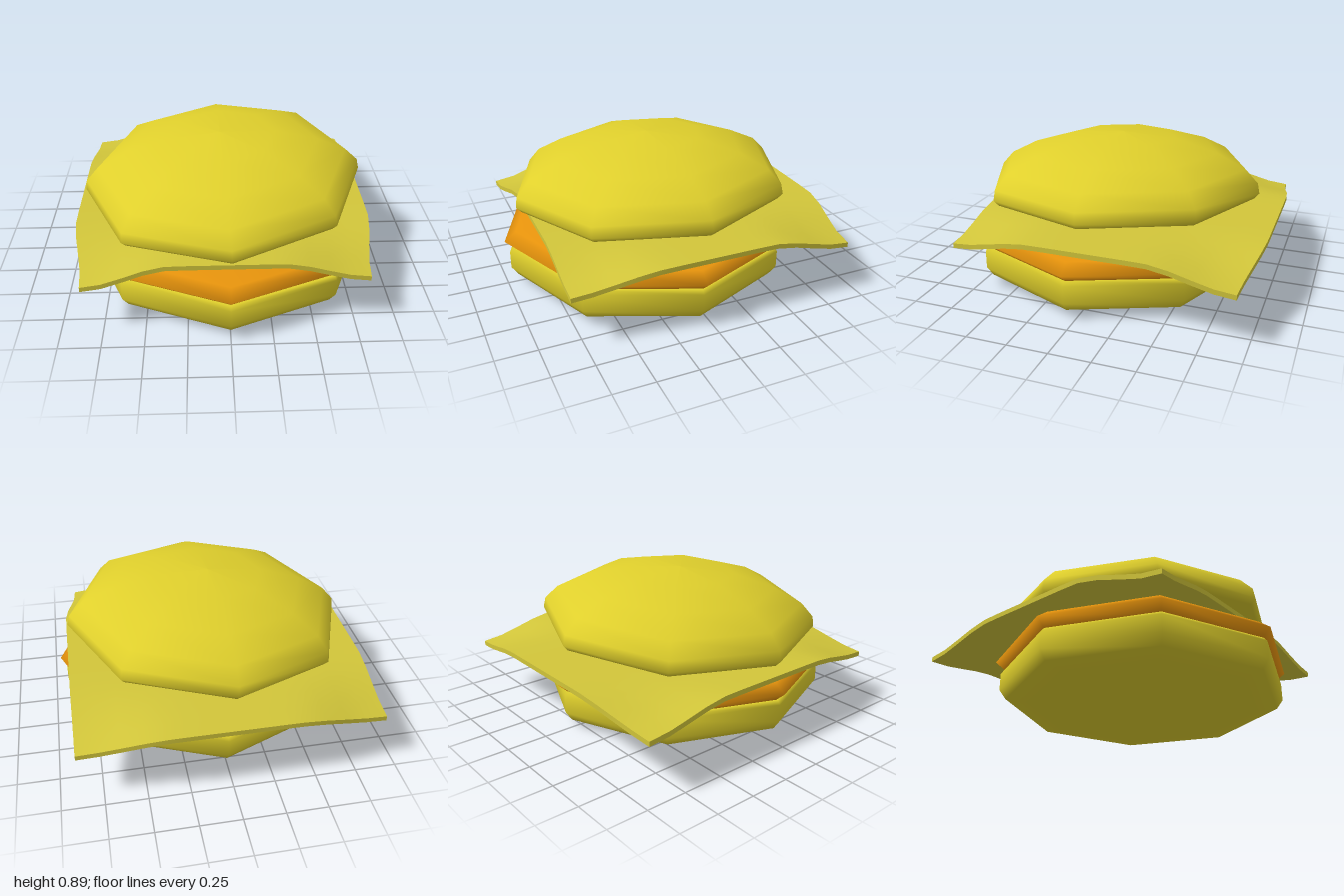
import * as THREE from 'three';

const bunMat = new THREE.MeshStandardMaterial({ color: 0xe0d02c });
const pattyMat = new THREE.MeshStandardMaterial({ color: 0xe8940c });
const cheeseMat = new THREE.MeshStandardMaterial({ color: 0xd2c63a });

// Eight-sided round layer from a profile of [radius, height], bottom to top
function layer(name, profile, material) {
  const points = profile.map(([r, y]) => new THREE.Vector2(r, y));
  const mesh = new THREE.Mesh(new THREE.LatheGeometry(points, 8), material);
  mesh.name = name;
  return mesh;
}

// Square slice whose corners droop and pull inward
function cheeseSlice() {
  const geo = new THREE.BoxGeometry(2, 0.03, 2, 14, 1, 14);
  const pos = geo.attributes.position;
  const ease = (t) => THREE.MathUtils.smoothstep(t, 0.38, 1);
  for (let i = 0; i < pos.count; i++) {
    const u = pos.getX(i), v = pos.getZ(i);
    const left = 0.89 - 0.07 * ease(v);
    const right = -0.94 + 0.08 * ease(v) + 0.01 * ease(-v);
    const front = 0.82 + 0.05 * ease(-u);
    const back = -1 + 0.07 * ease(Math.abs(u));
    const droop = 0.1 * ease(Math.abs(u)) * ease(Math.abs(v));
    pos.setXYZ(i,
      THREE.MathUtils.lerp(right, left, (u + 1) / 2),
      pos.getY(i) + 0.42 - droop,
      THREE.MathUtils.lerp(back, front, (v + 1) / 2));
  }
  geo.computeVertexNormals();
  const mesh = new THREE.Mesh(geo, cheeseMat);
  mesh.name = 'cheeseSlice';
  return mesh;
}

export function createModel() {
  const burger = new THREE.Group();
  burger.name = 'burger';

  const bottomBun = layer('bottomBun', [
    [0, 0], [0.6, 0.016], [0.87, 0.05], [0.912, 0.11],
    [0.912, 0.22], [0.89, 0.245], [0, 0.25],
  ], bunMat);
  bottomBun.position.z = 0.06;

  const patty = layer('patty', [
    [0, 0.24], [0.88, 0.242], [0.945, 0.3], [0.87, 0.358], [0.58, 0.392], [0, 0.4],
  ], pattyMat);
  patty.position.z = 0.055;

  // The top bun rests slightly askew
  const topBun = layer('topBun', [
    [0, -0.01], [0.6, -0.005], [0.86, 0.01], [0.892, 0.045], [0.88, 0.11],
    [0.8, 0.195], [0.62, 0.285], [0.35, 0.365], [0, 0.388],
  ], bunMat);
  topBun.position.set(-0.015, 0.5, 0.02);
  topBun.rotation.set(0.022, 0.03, 0.055);

  burger.add(bottomBun, patty, cheeseSlice(), topBun);
  return burger;
}
